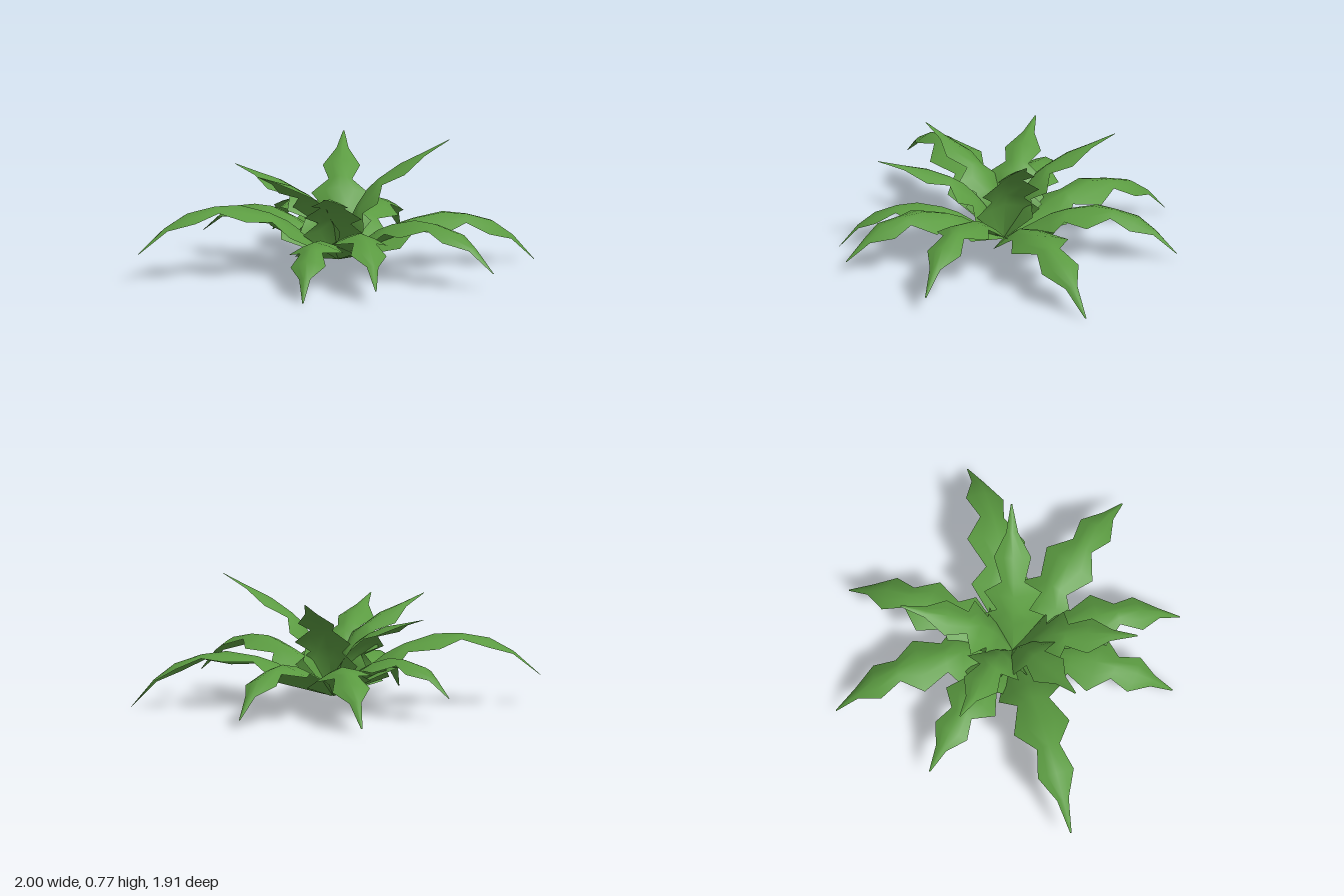
import * as THREE from 'three';

const BASE = new THREE.Vector3(-0.09, 0.07, 0.04);

// Half widths along a leaf, shared by all leaves
const WIDTHS = [0.008, 0.185, 0.095, 0.167, 0.068, 0.108, 0.035, 0.004];
// Midribs: [fraction of the chord, arch above the chord]
const OUTER_RIB = [[0, 0], [0.265, 0.193], [0.36, 0.235], [0.51, 0.272], [0.635, 0.262], [0.77, 0.222], [0.88, 0.14], [1, 0]];
const INNER_RIB = [[0, 0], [0.23, 0.11], [0.32, 0.135], [0.44, 0.155], [0.535, 0.148], [0.69, 0.115], [0.835, 0.06], [1, 0]];
const COLUMNS = [-1, -0.5, 0, 0.5, 1];
const FOLD = 0.42;

// A jagged leaf arching from the base to its tip, edges folded down, rolled about its chord
function leafGeometry(tip, profile, arch, roll) {
  const axis = new THREE.Vector3(...tip).sub(BASE);
  const length = axis.length();
  axis.normalize();
  const flat = new THREE.Vector3(-axis.z, 0, axis.x).normalize();
  const up = new THREE.Vector3().crossVectors(flat, axis).applyAxisAngle(axis, roll);
  const side = flat.applyAxisAngle(axis, roll).addScaledVector(axis, -roll);
  const rib = profile.map(([s, a]) => new THREE.Vector2(s * length, a * arch));
  const positions = [], index = [], n = COLUMNS.length;

  WIDTHS.forEach((w, i) => {
    const t = rib[Math.min(i + 1, rib.length - 1)].clone().sub(rib[Math.max(i - 1, 0)]).normalize();
    for (const u of COLUMNS) {
      const drop = FOLD * w * Math.pow(Math.abs(u), 1.3);
      const p = BASE.clone()
        .addScaledVector(axis, rib[i].x + t.y * drop)
        .addScaledVector(up, rib[i].y - t.x * drop)
        .addScaledVector(side, u * w);
      positions.push(p.x, p.y, p.z);
    }
  });
  for (let i = 0; i < WIDTHS.length - 1; i++) {
    for (let j = 0; j < n - 1; j++) {
      const a = i * n + j, b = a + 1, c = a + n, d = c + 1;
      index.push(a, b, c, b, d, c);
    }
  }
  const g = new THREE.BufferGeometry();
  g.setAttribute('position', new THREE.Float32BufferAttribute(positions, 3));
  g.setIndex(index);
  g.computeVertexNormals();
  return g;
}

export function createModel() {
  const model = new THREE.Group();
  model.name = 'leafyPlant';
  const green = new THREE.MeshStandardMaterial({ color: 0x5b9b41, side: THREE.DoubleSide });
  green.name = 'leafGreen';

  // Wide drooping leaves: [tip, roll]
  const outer = [
    [[-0.28, 0.05, -0.96], 0.05], [[0.73, 0.01, -0.79], 0.2], [[1.0, 0.11, 0.1], 0.04],
    [[0.6, 0.08, 0.75], -0.08], [[0.22, 0.0, 0.94], 0.12], [[-0.89, 0.17, 0.95], 0],
    [[-1.0, 0.14, 0.05], 0], [[-0.94, 0.03, -0.63], 0.12],
  ];
  // Upright leaves: [tip, roll]
  const inner = [
    [[-0.4, 0.69, -0.53], 0], [[0.45, 0.77, -0.31], 0.05], [[0.22, 0.57, 0.7], 0],
    [[-0.29, 0.63, 0.6], 0.1], [[-0.75, 0.57, 0.1], 0],
  ];

  const addLeaves = (name, leaves, profile, archOf) => {
    const group = new THREE.Group();
    group.name = name + 'Leaves';
    leaves.forEach(([tip, roll], i) => {
      const leaf = new THREE.Mesh(leafGeometry(tip, profile, archOf(tip), roll), green);
      leaf.name = name + 'Leaf' + (i + 1);
      group.add(leaf);
    });
    model.add(group);
  };
  addLeaves('outer', outer, OUTER_RIB, (t) => Math.hypot(t[0] - BASE.x, t[2] - BASE.z) / 1.09);
  addLeaves('inner', inner, INNER_RIB, () => 1);
  return model;
}
